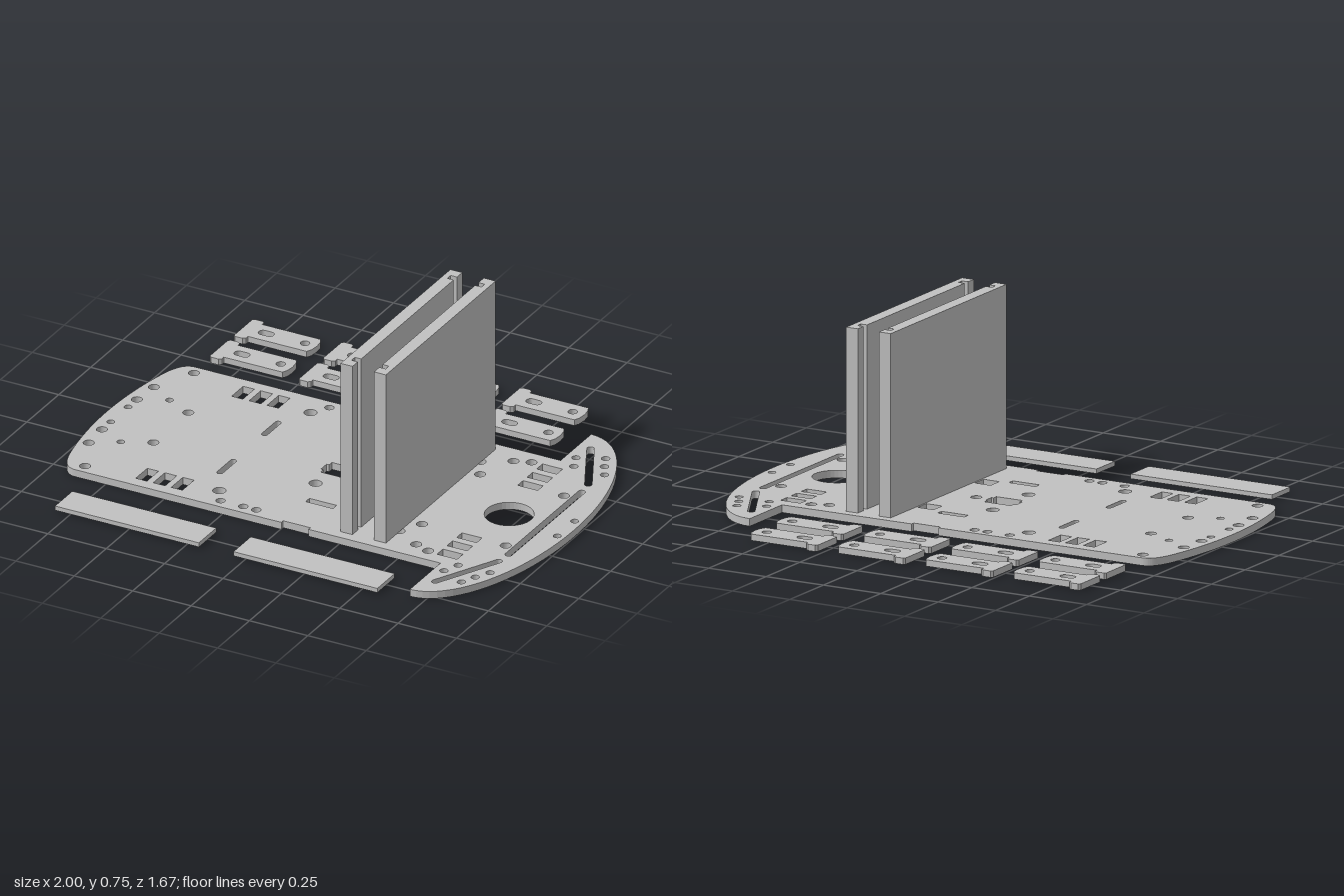
import * as THREE from 'three';

const CZ = 0.079; // centre line of the base plate in z

export function createModel() {
  const root = new THREE.Group();
  const grey = new THREE.MeshStandardMaterial({ color: 0xc0c0c0 });
  grey.name = 'plain grey';

  // Extrudes a floor-plan shape (shape y = world z) from y0 up to y1.
  const slab = (name, shape, y0, y1, x = 0, z = 0) => {
    const g = new THREE.ExtrudeGeometry(shape, { depth: y1 - y0, bevelEnabled: false, curveSegments: 20 });
    g.rotateX(Math.PI / 2);
    const m = new THREE.Mesh(g, grey);
    m.name = name;
    m.position.set(x, y1, z);
    root.add(m);
    return m;
  };
  const poly = (C, pts) => new C(pts.map(([x, y]) => new THREE.Vector2(x, y)));
  const circle = (x, y, r) => {
    const p = new THREE.Path();
    p.absarc(x, y, r, 0, Math.PI * 2, true);
    return p;
  };
  const rect = (x0, x1, y0, y1) => poly(THREE.Path, [[x0, y0], [x0, y1], [x1, y1], [x1, y0]]);
  // Slot with round ends between two points
  const slot = (x0, y0, x1, y1, r) => {
    const a = Math.atan2(y1 - y0, x1 - x0), h = Math.PI / 2;
    const p = new THREE.Path();
    p.absarc(x0, y0, r, a + h, a + 3 * h, false);
    p.absarc(x1, y1, r, a - h, a + h, false);
    p.closePath();
    return p;
  };

  // Base plate outline: rounded tail, straight sides with notches, wide curved nose
  const plate = new THREE.Shape();
  plate.moveTo(-0.88, -0.47);
  plate.lineTo(0.003, -0.47);
  plate.lineTo(0.003, -0.455);
  plate.lineTo(0.12, -0.455);
  plate.lineTo(0.12, -0.47);
  plate.lineTo(0.685, -0.47);
  plate.lineTo(0.685, -0.71);
  plate.absellipse(0.685, 0, 0.313, 0.71, -Math.PI / 2, Math.PI / 2, false, 0);
  plate.lineTo(0.685, 0.47);
  plate.lineTo(0.12, 0.47);
  plate.lineTo(0.12, 0.455);
  plate.lineTo(0.003, 0.455);
  plate.lineTo(0.003, 0.47);
  plate.lineTo(-0.88, 0.47);
  plate.bezierCurveTo(-0.93, 0.47, -0.95, 0.41, -0.963, 0.35);
  plate.bezierCurveTo(-1.012, 0.12, -1.012, -0.12, -0.963, -0.35);
  plate.bezierCurveTo(-0.95, -0.41, -0.93, -0.47, -0.88, -0.47);

  // Round holes (x, distance from centre line, radius), mirrored on both sides
  const rounds = [
    [-0.861, 0.426, 0.021], [-0.939, 0.255, 0.021], [-0.837, 0.191, 0.015], [-0.947, 0.137, 0.021],
    [-0.727, 0.137, 0.021], [-0.947, 0.068, 0.015], [-0.324, 0.357, 0.025], [-0.281, 0.426, 0.018],
    [-0.184, 0.426, 0.018], [-0.128, 0.426, 0.018], [-0.035, 0.132, 0.025], [0.473, 0.228, 0.021],
    [0.532, 0.381, 0.021], [0.596, 0.405, 0.021], [0.425, 0.317, 0.022], [0.832, 0.228, 0.021],
    [0.965, 0.068, 0.015], [0.725, 0.517, 0.016], [0.751, 0.453, 0.016], [0.826, 0.565, 0.016],
    [0.853, 0.506, 0.016], [0.885, 0.448, 0.016],
  ];
  // Rectangular holes (x0, x1, near, far), mirrored on both sides
  const rects = [
    [-0.647, -0.599, 0.33, 0.421], [-0.572, -0.521, 0.33, 0.421], [-0.495, -0.447, 0.33, 0.421],
    [0.003, 0.12, 0.25, 0.279], [0.158, 0.227, 0.18, 0.244], [0.286, 0.356, 0.18, 0.244],
    [0.639, 0.725, 0.367, 0.413], [0.639, 0.725, 0.292, 0.335], [0.639, 0.725, 0.218, 0.26],
  ];
  for (const s of [-1, 1]) {
    for (const [x, d, r] of rounds) plate.holes.push(circle(x, s * d, r));
    for (const [x0, x1, a, b] of rects) plate.holes.push(rect(x0, x1, Math.min(s * a, s * b), Math.max(s * a, s * b)));
    plate.holes.push(slot(-0.392, s * 0.123, -0.392, s * 0.227, 0.012));
    plate.holes.push(slot(0.738, s * 0.608, 0.869, s * 0.351, 0.014));
  }
  // Holes on the centre line
  plate.holes.push(
    circle(0.722, 0, 0.094), circle(0.115, 0, 0.021),
    slot(0.876, -0.286, 0.876, 0.286, 0.014),
    rect(0.281, 0.379, -0.098, 0.102),
    poly(THREE.Path, [
      [-0.061, -0.044], [-0.061, -0.022], [-0.072, -0.022], [-0.072, 0.022], [-0.061, 0.022], [-0.061, 0.044],
      [0.053, 0.044], [0.053, 0.022], [0.062, 0.022], [0.062, -0.022], [0.053, -0.022], [0.053, -0.044],
    ]),
  );
  slab('basePlate', plate, 0, 0.03, 0, CZ);

  // Two upright panels with a vertical groove near each end of the inner face
  for (const s of [-1, 1]) {
    const a = 0.046 * s, b = 0.097 * s, g = 0.073 * s;
    const panel = poly(THREE.Shape, [
      [b, -0.43], [b, 0.43], [a, 0.43], [a, 0.388], [g, 0.388], [g, 0.362], [a, 0.362],
      [a, -0.362], [g, -0.362], [g, -0.388], [a, -0.388], [a, -0.43],
    ]);
    slab('uprightPanel', panel, 0.03, 0.745, 0.331, 0.077);
  }

  // Eight T-shaped motor brackets in two rows
  const bracket = poly(THREE.Shape, [
    [0, -0.07], [0.008, -0.078], [0.04, -0.078], [0.051, -0.07], [0.051, -0.055], [0.302, -0.055], [0.312, -0.035],
    [0.316, 0], [0.312, 0.035], [0.302, 0.055], [0.051, 0.055], [0.051, 0.07], [0.04, 0.078], [0.008, 0.078], [0, 0.07],
  ]);
  bracket.holes.push(slot(0.085, 0, 0.113, 0, 0.018), circle(0.265, 0, 0.018));
  for (const z of [-0.762, -0.572]) {
    for (let i = 0; i < 4; i++) slab('motorBracket', bracket, 0.002, 0.027, -0.877 + i * 0.382, z);
  }

  // Two loose flat strips
  for (const x of [-0.504, 0.26]) {
    const strip = new THREE.Mesh(new THREE.BoxGeometry(0.616, 0.018, 0.136), grey);
    strip.name = 'flatStrip';
    strip.position.set(x, 0.014, 0.762);
    root.add(strip);
  }
  return root;
}
